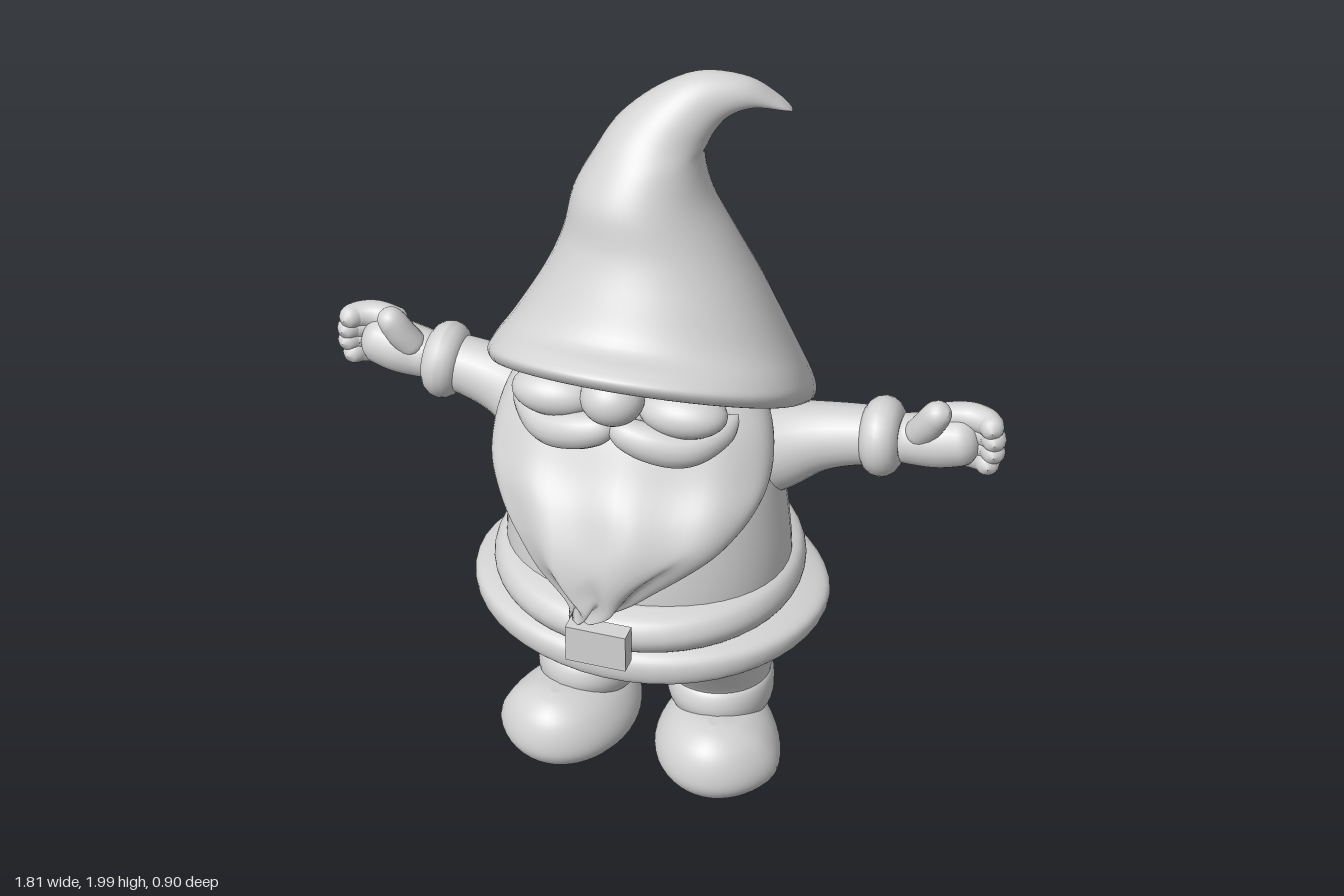
import * as THREE from 'three';
import { mergeVertices } from 'three/addons/utils/BufferGeometryUtils.js';

const stone = new THREE.MeshStandardMaterial({ color: 0xd4d4d4 });
stone.name = 'plain grey';

// Smooth interpolation through a list of number rows, t from 0 to 1
function spline(rows, t) {
  const n = rows.length - 1, s = Math.min(t * n, n - 1e-6), i = Math.floor(s), f = s - i;
  const at = k => rows[Math.max(0, Math.min(n, k))];
  return rows[0].map((_, k) => {
    const a = at(i - 1)[k], b = at(i)[k], c = at(i + 1)[k], d = at(i + 2)[k];
    return b + 0.5 * f * (c - a + f * (2 * a - 5 * b + 4 * c - d + f * (3 * (b - c) + d - a)));
  });
}

// Closed skin over oval rings, bottom to top.
// Row: centre x, half width, side tilt, front z, front y, back z, back y
function loft(rows, warp, seg = 48, sub = 5) {
  const pos = [], idx = [], n = (rows.length - 1) * sub;
  for (let i = 0; i <= n; i++) {
    const [cx, hx, hy, fz, fy, bz, by] = spline(rows, i / n);
    for (let j = 0; j < seg; j++) {
      const a = (j / seg) * Math.PI * 2, c = Math.cos(a), s = Math.sin(a);
      const p = new THREE.Vector3(cx + hx * c, (fy + by) / 2 + s * (fy - by) / 2 + hy * c,
        (fz + bz) / 2 + s * (fz - bz) / 2);
      if (warp) warp(p, a, i / n);
      pos.push(p.x, p.y, p.z);
      if (i < n) {
        const A = i * seg + j, B = i * seg + (j + 1) % seg;
        idx.push(A, A + seg, B, B, A + seg, B + seg);
      }
    }
  }
  for (const i of [0, n]) {
    const c = [0, 0, 0], m = pos.length / 3;
    for (let j = 0; j < seg; j++) for (let k = 0; k < 3; k++) c[k] += pos[(i * seg + j) * 3 + k] / seg;
    pos.push(...c);
    for (let j = 0; j < seg; j++) {
      const A = i * seg + j, B = i * seg + (j + 1) % seg;
      if (i) idx.push(m, B, A); else idx.push(m, A, B);
    }
  }
  const g = new THREE.BufferGeometry();
  g.setAttribute('position', new THREE.Float32BufferAttribute(pos, 3));
  g.setIndex(idx);
  g.computeVertexNormals();
  return g;
}

// Level ring: y, half width, front z, back z, centre x
const level = (y, hx, fz, bz, cx = 0) => [cx, hx, 0, fz, y, bz, y];

// Tube along points [x, y, z, radius] with rounded ends
function limb(points, round = 0.15, seg = 16) {
  const n = 28, curve = new THREE.CatmullRomCurve3(points.map(p => new THREE.Vector3(p[0], p[1], p[2])));
  const g = new THREE.TubeGeometry(curve, n, 1, seg), p = g.attributes.position, v = new THREE.Vector3();
  for (let i = 0; i <= n; i++) {
    const c = curve.getPointAt(i / n), t = curve.getUtoTmapping(i / n);
    const e = Math.min(1, Math.min(i / n, 1 - i / n) / round);
    const r = spline(points, t)[3] * Math.max(0.03, Math.sqrt(1 - (1 - e) ** 2));
    for (let j = 0; j <= seg; j++) {
      const k = i * (seg + 1) + j;
      v.fromBufferAttribute(p, k).sub(c).multiplyScalar(r).add(c);
      p.setXYZ(k, v.x, v.y, v.z);
    }
  }
  g.deleteAttribute('uv');
  g.deleteAttribute('normal');
  const m = mergeVertices(g, 1e-5);
  m.computeVertexNormals();
  return m;
}

const ball = (x, y, z, rx, ry, rz) =>
  new THREE.SphereGeometry(1, 32, 20).scale(rx, ry, rz).translate(x, y, z);

function mirrored(g) {
  const m = g.clone().scale(-1, 1, 1), a = m.index.array;
  for (let i = 0; i < a.length; i += 3) [a[i], a[i + 1]] = [a[i + 1], a[i]];
  m.computeVertexNormals();
  return m;
}

export function createModel() {
  const model = new THREE.Group();
  const add = (name, g) => {
    const mesh = new THREE.Mesh(g, stone);
    mesh.name = name;
    model.add(mesh);
  };
  const pair = (name, g) => { add('left' + name, g); add('right' + name, mirrored(g)); };

  // Hat: tilted brim, squarer at the back, cone and a tip curling to the left
  add('hat', loft([
    [0, .34, 0, .30, 1.36, -.32, 1.04],
    [0, .39, 0, .36, 1.365, -.36, 0.99],
    [0, .408, 0, .385, 1.405, -.385, 1.02],
    [0, .395, 0, .35, 1.425, -.385, 1.08],
    [0, .35, 0, .285, 1.445, -.345, 1.22],
    [0, .275, 0, .225, 1.53, -.30, 1.41],
    [-.01, .22, 0, .175, 1.62, -.265, 1.54],
    [-.03, .172, 0, .145, 1.72, -.235, 1.68],
    [-.02, .135, 0, .095, 1.80, -.21, 1.79],
    [.01, .112, -.025, .04, 1.86, -.195, 1.85],
    [.065, .075, -.045, -.01, 1.915, -.185, 1.91],
    [.13, .04, -.05, -.06, 1.95, -.175, 1.95],
    [.21, .012, -.037, -.11, 1.95, -.185, 1.95],
    [.275, .012, -.02, -.16, 1.918, -.20, 1.918],
    [.298, .004, -.006, -.18, 1.90, -.20, 1.90],
  ], (p, a, t) => {
    const k = Math.sin(2 * a) ** 2 * Math.max(0, 1 - t * 2);
    p.x *= 1 + k * (Math.sin(a) < 0 ? .16 : .03);
    if (p.z < 0) {
      p.y += .09 * k * p.z;
      p.z *= 1 + .18 * k;
    }
  }));

  // Head and face
  add('head', ball(0, 1.22, 0, .30, .24, .28));
  add('nose', ball(0, 1.305, .295, .08, .068, .075));
  pair('Cheek', ball(.165, 1.265, .245, .112, .06, .075));
  pair('Moustache', limb([[-.01, 1.225, .30, .035], [.09, 1.195, .295, .05],
    [.18, 1.18, .265, .052], [.25, 1.205, .21, .04], [.285, 1.235, .17, .02]]));

  // Beard with wavy locks, ending in a point
  add('beard', loft([
    level(.7, .03, .415, .34, -.06), level(.745, .08, .438, .28, -.03),
    level(.79, .14, .445, .22, -.01), level(.85, .22, .447, .15), level(.92, .3, .43, .08),
    level(1.0, .352, .39, 0), level(1.08, .365, .33, -.05), level(1.18, .345, .27, -.08),
    level(1.28, .29, .2, -.08),
  ], (p, a, t) => {
    if (Math.sin(a) <= 0) return;
    const w = Math.sin(a) * Math.min(1, (1 - t) * 1.6);
    p.z += .01 * w * Math.sin(a * 8 - t * 5);
    p.y += .018 * w * Math.sin(a * 9 + 1);
    p.x += .02 * w * Math.sin(t * 14);
  }, 72));

  // Torso, belt, buckle and flared hem
  add('torso', loft([
    level(.52, .37, .33, -.36), level(.7, .382, .325, -.315), level(.9, .362, .29, -.28),
    level(1.05, .337, .24, -.255), level(1.17, .29, .2, -.22), level(1.28, .2, .15, -.15),
  ]));
  add('belt', loft([
    level(.58, .34, .33, -.34), level(.595, .395, .38, -.4), level(.64, .414, .405, -.42),
    level(.685, .4, .385, -.41), level(.705, .36, .33, -.36),
  ]));
  add('buckle', new THREE.BoxGeometry(.16, .105, .05).translate(0, .642, .422));
  add('hem', loft([
    level(.52, .33, .25, -.32), level(.5, .42, .345, -.39), level(.505, .465, .385, -.435),
    level(.545, .482, .395, -.452), level(.578, .465, .38, -.43), level(.6, .38, .33, -.37),
  ], (p, a, t) => {
    p.y += .008 * Math.sin(a * 3 + 1) * (1 - t);
    if (Math.sin(a) < 0) p.x *= 1 - .04 * Math.sin(2 * a) ** 2;
  }));

  // Trousers: a seat filling the gap between two legs that widen to the waist
  add('trousers', loft([
    level(.28, .1, .02, -.13), level(.31, .19, .085, -.205), level(.36, .25, .135, -.245),
    level(.43, .29, .185, -.285), level(.53, .33, .24, -.32),
  ]));
  pair('Leg', loft([
    level(.18, .12, .06, -.18, .185), level(.25, .142, .078, -.2, .18),
    level(.32, .155, .122, -.238, .172), level(.4, .166, .175, -.282, .17),
    level(.48, .172, .225, -.31, .17), level(.54, .172, .24, -.32, .17),
  ]));
  pair('TrouserCuff', loft([
    level(.145, .1, .05, -.16, .19), level(.16, .135, .085, -.2, .19), level(.21, .146, .105, -.222, .187),
    level(.26, .138, .09, -.21, .185), level(.28, .1, .05, -.17, .18),
  ]));

  // Shoes: broad domed toes turned out, narrow heels
  pair('Shoe', loft([
    level(.01, .12, .185, -.16, .225), level(.018, .16, .222, -.19, .225), level(.06, .188, .25, -.212, .225),
    level(.11, .182, .248, -.21, .225), level(.16, .148, .226, -.195, .225),
    level(.193, .095, .185, -.15, .225), level(.205, .03, .14, -.06, .225),
  ], p => {
    const t = Math.max(0, Math.min(1, (p.z + .21) / .33));
    p.x = .17 + .055 * t + (p.x - .225) * (.74 + .26 * t);
    p.y *= .85 + .15 * t;
  }));

  // Arms, cuffs and open hands
  pair('Arm', limb([[.1, .98, 0, .1], [.22, .99, -.03, .135], [.32, 1.01, -.06, .122],
    [.42, 1.04, -.08, .093], [.52, 1.06, -.09, .08], [.62, 1.07, -.095, .075]], .06, 24));
  pair('SleeveCuff', new THREE.TorusGeometry(.055, .05, 16, 32).rotateY(Math.PI / 2)
    .rotateZ(.08).translate(.593, 1.07, -.09));
  pair('Palm', limb([[.6, 1.065, -.1, .06], [.67, 1.065, -.11, .068],
    [.74, 1.075, -.11, .072], [.84, 1.09, -.115, .062]], .2));
  for (let i = 0; i < 4; i++) {
    const y = 1.035 + i * .036, len = [.87, .882, .882, .874][i];
    pair('Finger' + (i + 1), limb([[.72, y - .005, -.12, .036], [.81, y, -.135, .038],
      [len - .015, y + .003, -.11, .034], [len, y + .004, -.065, .028]]));
  }
  pair('Thumb', limb([[.67, 1.08, -.09, .038], [.71, 1.14, -.07, .04],
    [.735, 1.18, -.06, .038], [.765, 1.2, -.05, .032]], .22));

  return model;
}
